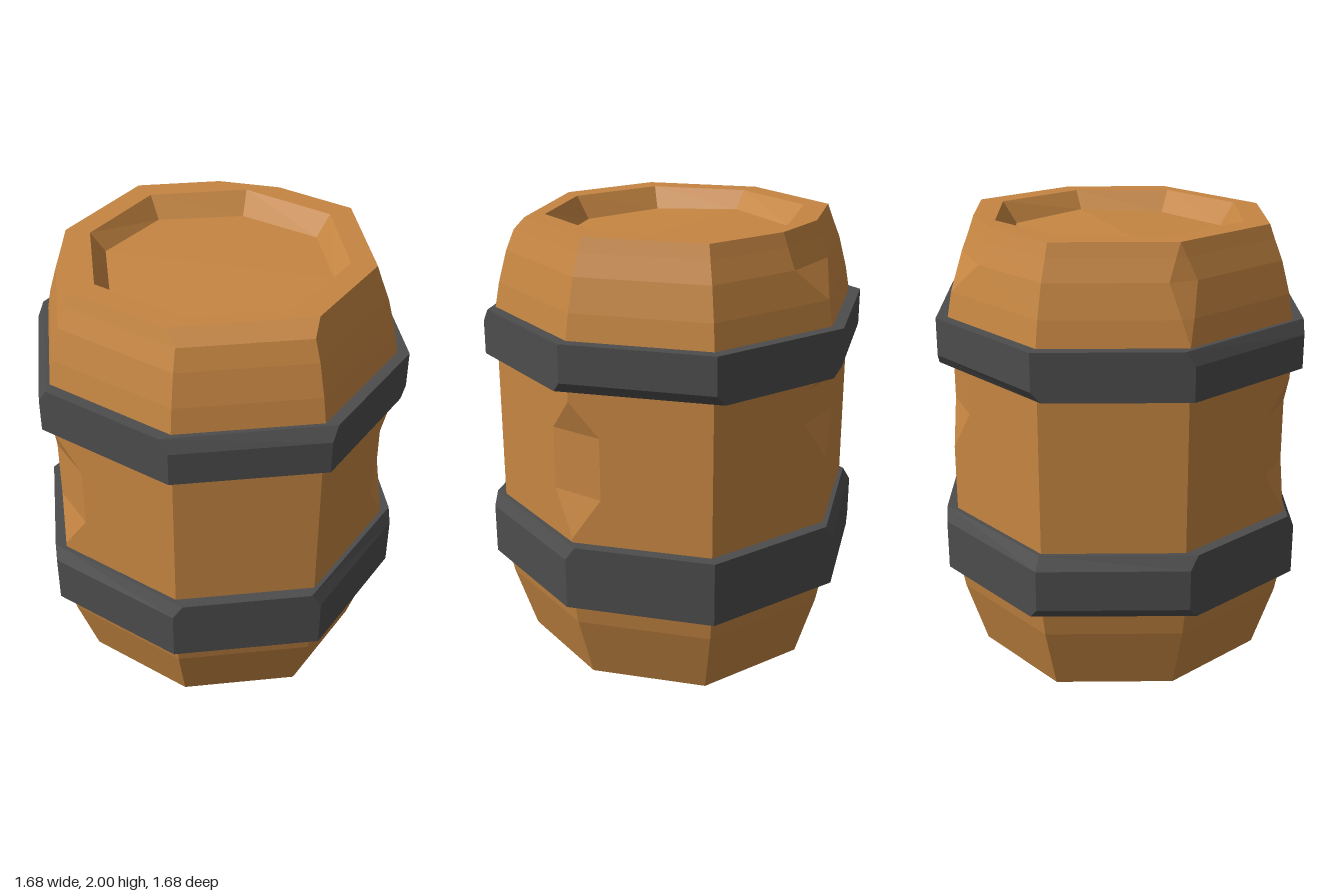
import * as THREE from 'three';

const wood = new THREE.MeshStandardMaterial({ color: 0xc68642 });
wood.name = 'wood';
const iron = new THREE.MeshStandardMaterial({ color: 0x4d4d4d });
iron.name = 'iron';

// One octagonal cross-section with 16 points: two per corner.
// inset: { panel: depth } pulls a panel inwards, cut(corner): length chamfered off a corner.
function loop(r, y, inset = {}, cut = () => 0) {
  const base = [];
  for (let k = 0; k < 8; k++) {
    const a = (k * Math.PI) / 4;
    const q = k % 2 ? r * 1.03 : r;
    base.push(new THREE.Vector3(q * Math.cos(a), y, q * Math.sin(a)));
  }
  const dir = (from, to) => base[to].clone().sub(base[from]).normalize();
  const corners = base.map((p, k) => {
    const prev = (k + 7) % 8, next = (k + 1) % 8;
    const c = p.clone();
    if (inset[k]) c.addScaledVector(dir(k, prev), inset[k] * Math.SQRT2);
    if (inset[prev]) c.addScaledVector(dir(k, next), inset[prev] * Math.SQRT2);
    return c;
  });
  return corners.flatMap((c, k) => {
    const toPrev = corners[(k + 7) % 8].clone().sub(c).normalize();
    const toNext = corners[(k + 1) % 8].clone().sub(c).normalize();
    return [c.clone().addScaledVector(toPrev, cut(k)), c.clone().addScaledVector(toNext, cut(k))];
  });
}

// Skins successive loops with flat faces, skipping collapsed triangles.
function skin(loops, material, name) {
  const pos = [];
  const tri = (a, b, c) => {
    const n = b.clone().sub(a).cross(c.clone().sub(a));
    if (n.length() > 1e-7) pos.push(...a.toArray(), ...b.toArray(), ...c.toArray());
  };
  for (let i = 0; i + 1 < loops.length; i++) {
    const lo = loops[i], up = loops[i + 1];
    for (let k = 0; k < lo.length; k++) {
      const n = (k + 1) % lo.length;
      tri(lo[k], up[k], up[n]);
      tri(lo[k], up[n], lo[n]);
    }
  }
  const geo = new THREE.BufferGeometry();
  geo.setAttribute('position', new THREE.Float32BufferAttribute(pos, 3));
  geo.computeVertexNormals();
  const mesh = new THREE.Mesh(geo, material);
  mesh.name = name;
  return mesh;
}

// Piecewise linear lookup in [[y, value], ...]
function sample(keys, y) {
  for (let i = 0; i + 1 < keys.length; i++) {
    const [y0, v0] = keys[i], [y1, v1] = keys[i + 1];
    if (y >= y0 && y <= y1) return v0 + ((v1 - v0) * (y - y0)) / (y1 - y0);
  }
  return 0;
}

// Worn notches on the vertical edges, by corner
const notches = {
  0: [[0.72, 0], [0.91, 0.13], [1.19, 0.13], [1.34, 0]],
  3: [[0.72, 0], [0.91, 0.13], [1.19, 0.13], [1.34, 0]],
  4: [[1.6, 0], [1.85, 0.065], [2, 0]],
  6: [[1.0, 0], [1.19, 0.13], [1.34, 0.13], [1.4, 0], [1.71, 0], [1.85, 0.15], [2, 0.15]],
};

const profile = [[0, 0.67], [0.3, 0.765], [0.41, 0.785], [1.6, 0.785], [1.71, 0.765],
  [1.85, 0.728], [1.94, 0.692], [2, 0.67]];
const levels = [0, 0.3, 0.41, 0.72, 0.91, 1.0, 1.19, 1.34, 1.4, 1.6, 1.71, 1.85, 1.94, 2];

function barrelBody() {
  const loops = [loop(0, 0.1), loop(0.55, 0.1), loop(0.56, 0)];
  for (const y of levels) {
    const chip = y === 2 ? { 1: 0.038 } : {};
    loops.push(loop(sample(profile, y), y, chip, (k) => sample(notches[k] || [], y)));
  }
  // Recessed lid with a faint ridge along x
  const lid = loop(0.495, 1.9);
  for (const p of lid) p.y += 0.02 * (1 - Math.abs(p.z) / 0.495);
  loops.push(loop(0.56, 2), lid, loop(0, 1.92));
  return skin(loops, wood, 'barrelBody');
}

// Iron band with some of its panel edges bevelled
function hoop(name, y0, y1, topPanels, bottomPanels) {
  const bevel = (panels) => Object.fromEntries(panels.map((k) => [k, 0.03]));
  return skin([
    loop(0.76, y0),
    loop(0.838, y0, bevel(bottomPanels)),
    loop(0.838, y0 + 0.045),
    loop(0.838, y1 - 0.06),
    loop(0.838, y1, bevel(topPanels)),
    loop(0.76, y1),
  ], iron, name);
}

export function createModel() {
  const group = new THREE.Group();
  group.name = 'barrel';
  group.add(barrelBody());
  group.add(hoop('lowerHoop', 0.41, 0.7, [0, 2, 4, 5], [4]));
  group.add(hoop('upperHoop', 1.39, 1.6, [1, 3], [5, 7]));
  return group;
}
